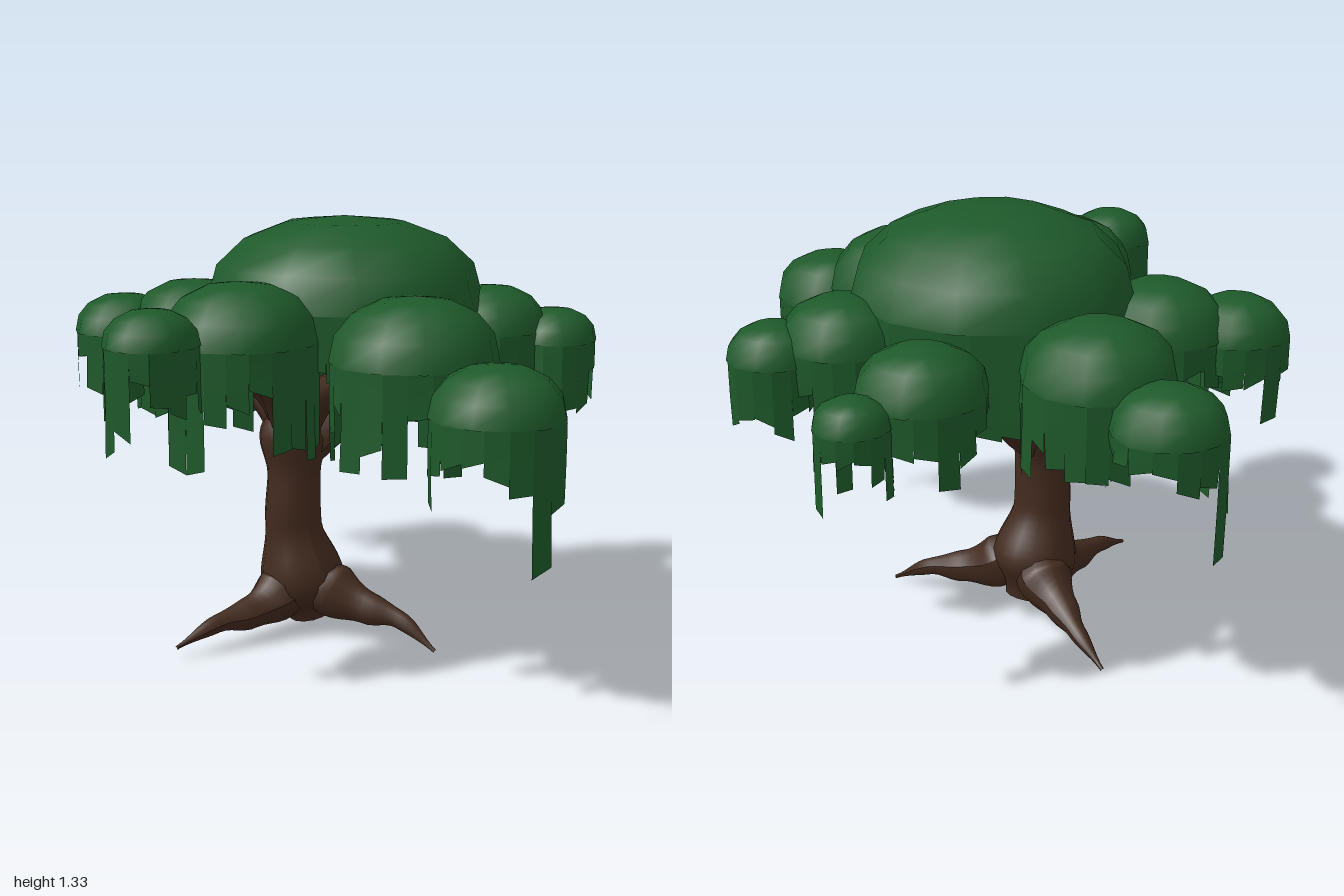
import * as THREE from 'three';

const bark = new THREE.MeshStandardMaterial({ color: 0x422a1e });
bark.name = 'bark brown';
const leaf = new THREE.MeshStandardMaterial({ color: 0x1e592a, side: THREE.DoubleSide });
leaf.name = 'leaf green';

function seeded(seed) {
  let s = seed;
  return () => (s = (s * 16807) % 2147483647) / 2147483647;
}

// Tapered round limb: a unit tube whose rings are rescaled along the path
function limb(name, points, radii, sides = 9) {
  const curve = new THREE.CatmullRomCurve3(points.map((p) => new THREE.Vector3(...p)));
  const steps = points.length * 5;
  const geo = new THREE.TubeGeometry(curve, steps, 1, sides, false);
  const pos = geo.attributes.position;
  const v = new THREE.Vector3();
  for (let i = 0; i <= steps; i++) {
    // radius follows the control points, in the curve's own parameter
    const f = curve.getUtoTmapping(i / steps) * (radii.length - 1);
    const k = Math.min(Math.floor(f), radii.length - 2);
    const r = THREE.MathUtils.lerp(radii[k], radii[k + 1], THREE.MathUtils.smoothstep(f - k, 0, 1));
    const c = curve.getPointAt(i / steps);
    for (let j = 0; j <= sides; j++) {
      const n = i * (sides + 1) + j;
      v.fromBufferAttribute(pos, n).sub(c).multiplyScalar(r).add(c);
      pos.setXYZ(n, v.x, v.y, v.z);
    }
  }
  geo.computeVertexNormals();
  const mesh = new THREE.Mesh(geo, bark);
  mesh.name = name;
  return mesh;
}

// Faceted dome, open below, with ragged leaf strips hanging from its rim
function canopy({ name, at: [x, z], r, top, hang: [hi, lo], rise = 0.75, strips = 18, strand }, seed) {
  const rnd = seeded(seed * 7919 + 17);
  const sides = 12, rings = 4;
  const rimY = top - rise * r;
  const wobble = Array.from({ length: sides }, () => 0.97 + rnd() * 0.05);
  const verts = [x, top, z];
  const index = [];
  const corner = (j, s) => {
    const a = (j / sides) * Math.PI * 2;
    const q = r * s * wobble[j % sides];
    return [x + Math.cos(a) * q, z + Math.sin(a) * q];
  };

  // dome rings
  for (let i = 1; i <= rings; i++) {
    const t = (i / rings) * Math.PI / 2;
    for (let j = 0; j < sides; j++) {
      const [px, pz] = corner(j, Math.pow(Math.sin(t), 0.9));
      verts.push(px, rimY + rise * r * Math.pow(Math.cos(t), 0.9), pz);
    }
  }
  const id = (i, j) => 1 + (i - 1) * sides + (j % sides);
  for (let j = 0; j < sides; j++) {
    index.push(0, id(1, j + 1), id(1, j));
    for (let i = 1; i < rings; i++) {
      index.push(id(i, j), id(i, j + 1), id(i + 1, j + 1), id(i, j), id(i + 1, j + 1), id(i + 1, j));
    }
  }

  // hanging strips
  const rim = (u) => {
    const f = (u % 1) * sides, j = Math.floor(f), k = f - j;
    const a = corner(j, 1), b = corner(j + 1, 1);
    return [a[0] + (b[0] - a[0]) * k, a[1] + (b[1] - a[1]) * k];
  };
  let drop = rnd();
  for (let k = 0; k < strips; k++) {
    const u = (k + 0.5) / strips;
    if (rnd() < 0.75) drop = rnd(); // otherwise the strip joins its neighbour
    let end = THREE.MathUtils.lerp(hi, lo, Math.pow(drop, 1.4));
    if (strand && Math.abs(u - strand[0]) < 0.6 / strips) end = strand[1];
    const tilt = (rnd() - 0.5) * 0.03;
    const lean = 1 + (rnd() - 0.5) * 0.06;
    const base = verts.length / 3;
    for (let row = 0; row < 3; row++) {
      for (const side of [0, 1]) {
        const [px, pz] = rim((k + side) / strips);
        const s = row === 2 ? lean : 1;
        const low = end + (side ? tilt : -tilt);
        verts.push(x + (px - x) * s, THREE.MathUtils.lerp(rimY, low, row / 2), z + (pz - z) * s);
      }
    }
    for (const b of [base, base + 2]) index.push(b, b + 1, b + 3, b, b + 3, b + 2);
  }

  const geo = new THREE.BufferGeometry();
  geo.setAttribute('position', new THREE.Float32BufferAttribute(verts, 3));
  geo.setIndex(index);
  geo.computeVertexNormals();
  const mesh = new THREE.Mesh(geo, leaf);
  mesh.name = name;
  return mesh;
}

export function createModel() {
  const tree = new THREE.Group();
  tree.name = 'tree';

  // Trunk, swelling at the base and at the fork
  tree.add(limb('trunk',
    [[-0.02, 0.05, -0.12], [-0.05, 0.18, -0.12], [-0.08, 0.36, -0.125], [-0.08, 0.52, -0.12], [-0.075, 0.64, -0.13], [-0.07, 0.76, -0.13]],
    [0.07, 0.135, 0.09, 0.084, 0.108, 0.07], 14));

  // Roots
  const roots = [
    ['rightRoot', [[-0.06, 0.26, -0.12], [-0.13, 0.14, -0.12], [-0.25, 0.095, -0.11], [-0.38, 0.085, -0.1], [-0.53, 0.04, -0.09]]],
    ['frontRoot', [[-0.04, 0.27, -0.12], [0.0, 0.15, -0.03], [0.06, 0.105, 0.09], [0.11, 0.085, 0.19], [0.15, 0.012, 0.32]]],
    ['backRoot', [[-0.04, 0.27, -0.13], [0.0, 0.15, -0.21], [0.04, 0.105, -0.32], [0.08, 0.075, -0.42], [0.11, 0.01, -0.55]]],
  ];
  for (const [name, pts] of roots) tree.add(limb(name, pts, [0.02, 0.088, 0.052, 0.028, 0.006], 10));

  // Branches, each running under a large clump to its outer clump
  const fork = [-0.08, 0.5, -0.125];
  const branches = [
    ['frontBranch', [fork, [-0.07, 0.74, -0.05], [-0.05, 0.87, 0.2], [-0.04, 0.84, 0.5], [-0.02, 0.76, 0.75]]],
    ['rightBranch', [fork, [-0.13, 0.74, -0.09], [-0.32, 0.89, 0.03], [-0.52, 0.93, 0.1], [-0.73, 0.97, 0.16]]],
    ['backRightBranch', [fork, [-0.11, 0.74, -0.19], [-0.22, 0.87, -0.35], [-0.32, 0.9, -0.46], [-0.43, 0.89, -0.58]]],
    ['backBranch', [fork, [-0.05, 0.73, -0.21], [0.07, 0.85, -0.42], [0.16, 0.88, -0.62], [0.21, 0.85, -0.9]]],
    ['leftBranch', [fork, [0.06, 0.67, -0.14], [0.25, 0.82, -0.18], [0.5, 0.88, -0.2], [0.77, 0.84, -0.2]]],
    ['frontLeftBranch', [fork, [0.03, 0.68, -0.06], [0.2, 0.81, 0.05], [0.4, 0.83, 0.17], [0.62, 0.8, 0.29]]],
  ];
  for (const [name, pts] of branches) tree.add(limb(name, pts, [0.03, 0.062, 0.032, 0.022, 0.014], 8));
  tree.add(limb('bareBranch', [[-0.08, 0.6, -0.13], [-0.17, 0.79, -0.14], [-0.34, 0.89, -0.15], [-0.53, 0.9, -0.14]],
    [0.04, 0.04, 0.024, 0.014], 8));
  tree.add(limb('crownBranch', [[-0.08, 0.62, -0.13], [-0.04, 0.85, -0.11], [0.04, 1.1, -0.06]], [0.05, 0.045, 0.02], 8));

  // Leaf clumps
  const clumps = [
    { name: 'crownCanopy', at: [0.055, -0.035], r: 0.425, top: 1.33, hang: [0.92, 0.74], rise: 0.6, strips: 30 },
    { name: 'frontCanopy', at: [-0.05, 0.46], r: 0.245, top: 1.145, hang: [0.86, 0.6], strips: 22 },
    { name: 'frontOuterCanopy', at: [-0.025, 0.795], r: 0.192, top: 1.0, hang: [0.77, 0.57], strand: [0.25, 0.47] },
    { name: 'rightCanopy', at: [-0.41, 0.11], r: 0.23, top: 1.175, hang: [0.92, 0.66], strips: 22 },
    { name: 'rightOuterCanopy', at: [-0.725, 0.17], r: 0.137, top: 1.13, hang: [0.96, 0.78], strand: [0.5, 0.74], strips: 15 },
    { name: 'backRightCanopy', at: [-0.26, -0.42], r: 0.205, top: 1.12, hang: [0.91, 0.7] },
    { name: 'backRightOuterCanopy', at: [-0.43, -0.575], r: 0.16, top: 1.07, hang: [0.88, 0.66], strips: 15 },
    { name: 'backCanopy', at: [0.18, -0.565], r: 0.22, top: 1.14, hang: [0.9, 0.67], strips: 22 },
    { name: 'backOuterCanopy', at: [0.215, -0.835], r: 0.163, top: 1.035, hang: [0.87, 0.66], strand: [0.7, 0.56], strips: 15 },
    { name: 'leftCanopy', at: [0.52, -0.22], r: 0.19, top: 1.07, hang: [0.88, 0.7] },
    { name: 'leftOuterCanopy', at: [0.755, -0.2], r: 0.11, top: 0.98, hang: [0.85, 0.64], strips: 14 },
    { name: 'frontLeftCanopy', at: [0.47, 0.165], r: 0.185, top: 1.11, hang: [0.88, 0.7] },
    { name: 'frontLeftOuterCanopy', at: [0.63, 0.285], r: 0.138, top: 1.04, hang: [0.85, 0.66], strips: 15 },
  ];
  clumps.forEach((c, i) => tree.add(canopy(c, i + 1)));

  return tree;
}
